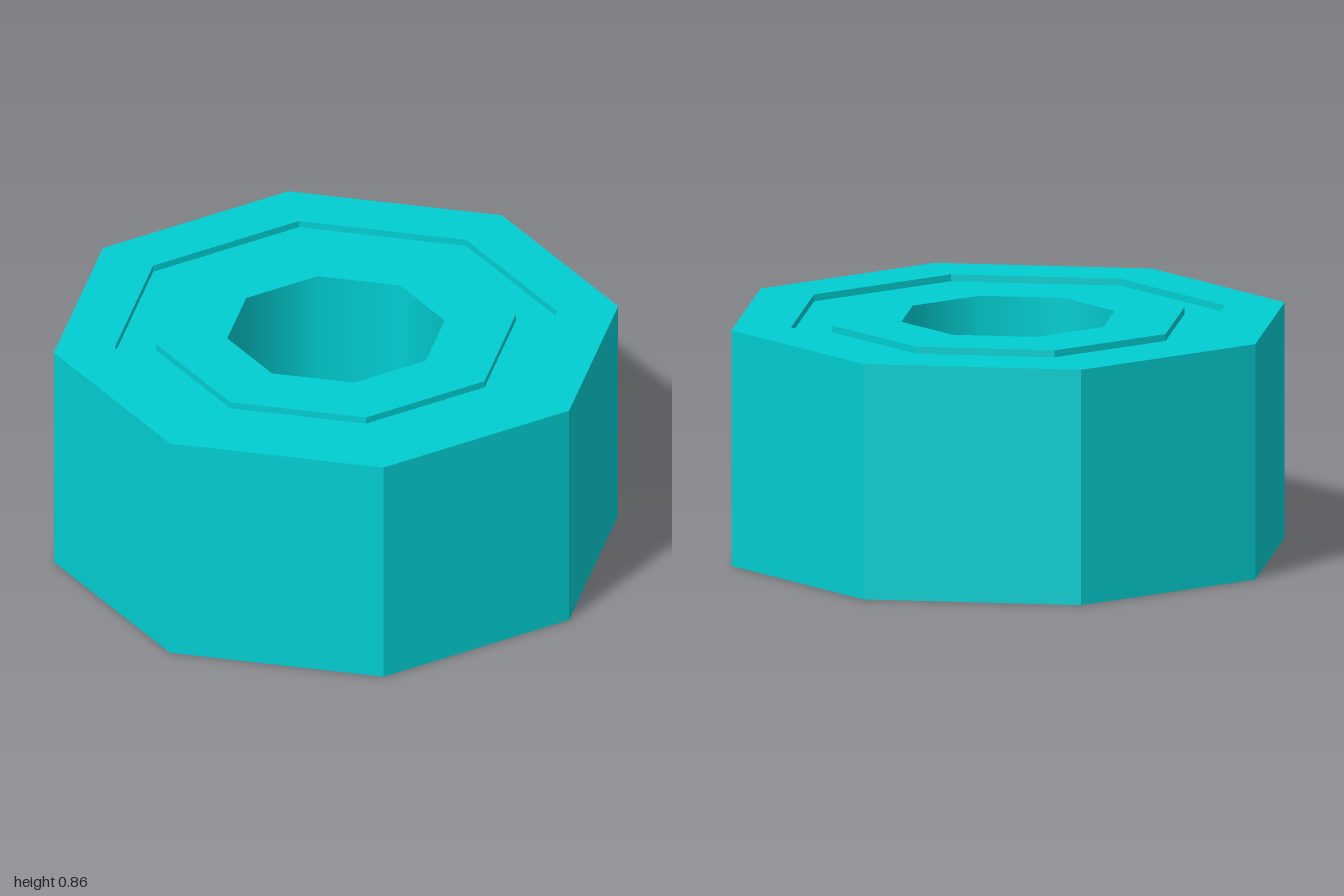
import * as THREE from 'three';

const SIDES = 8, TURN = Math.atan(0.2);
const H = 0.855, DEPTH = 0.025; // overall height, groove depth
const R_OUT = 1.02, R_GROOVE_OUT = 0.80, R_GROOVE_IN = 0.65, R_BORE = 0.393;

// Revolve a profile of [radius, y] points into an eight-sided surface
function revolve(name, profile, smooth = false) {
  const points = profile.map(([r, y]) => new THREE.Vector2(r, y));
  let geometry = new THREE.LatheGeometry(points, SIDES, TURN);
  if (!smooth) {
    geometry = geometry.toNonIndexed();
    geometry.computeVertexNormals();
  }
  const material = new THREE.MeshStandardMaterial({ color: 0x00ced1 });
  const mesh = new THREE.Mesh(geometry, material);
  mesh.name = name;
  return mesh;
}

export function createModel() {
  const group = new THREE.Group();
  group.name = 'bearing';
  const low = DEPTH, high = H - DEPTH;

  // Outer ring, including the outer walls of both grooves
  group.add(revolve('outerRing', [
    [R_GROOVE_OUT, low], [R_GROOVE_OUT, 0], [R_OUT, 0],
    [R_OUT, H], [R_GROOVE_OUT, H], [R_GROOVE_OUT, high],
  ]));

  // Recessed shields on both faces
  group.add(revolve('topShield', [[R_GROOVE_OUT, high], [R_GROOVE_IN, high]]));
  group.add(revolve('bottomShield', [[R_GROOVE_IN, low], [R_GROOVE_OUT, low]]));

  // Inner ring faces with the inner groove walls
  group.add(revolve('innerRingTop', [[R_GROOVE_IN, high], [R_GROOVE_IN, H], [R_BORE, H]]));
  group.add(revolve('innerRingBottom', [[R_BORE, 0], [R_GROOVE_IN, 0], [R_GROOVE_IN, low]]));

  // Smooth-shaded bore
  group.add(revolve('bore', [[R_BORE, H], [R_BORE, 0]], true));
  return group;
}
